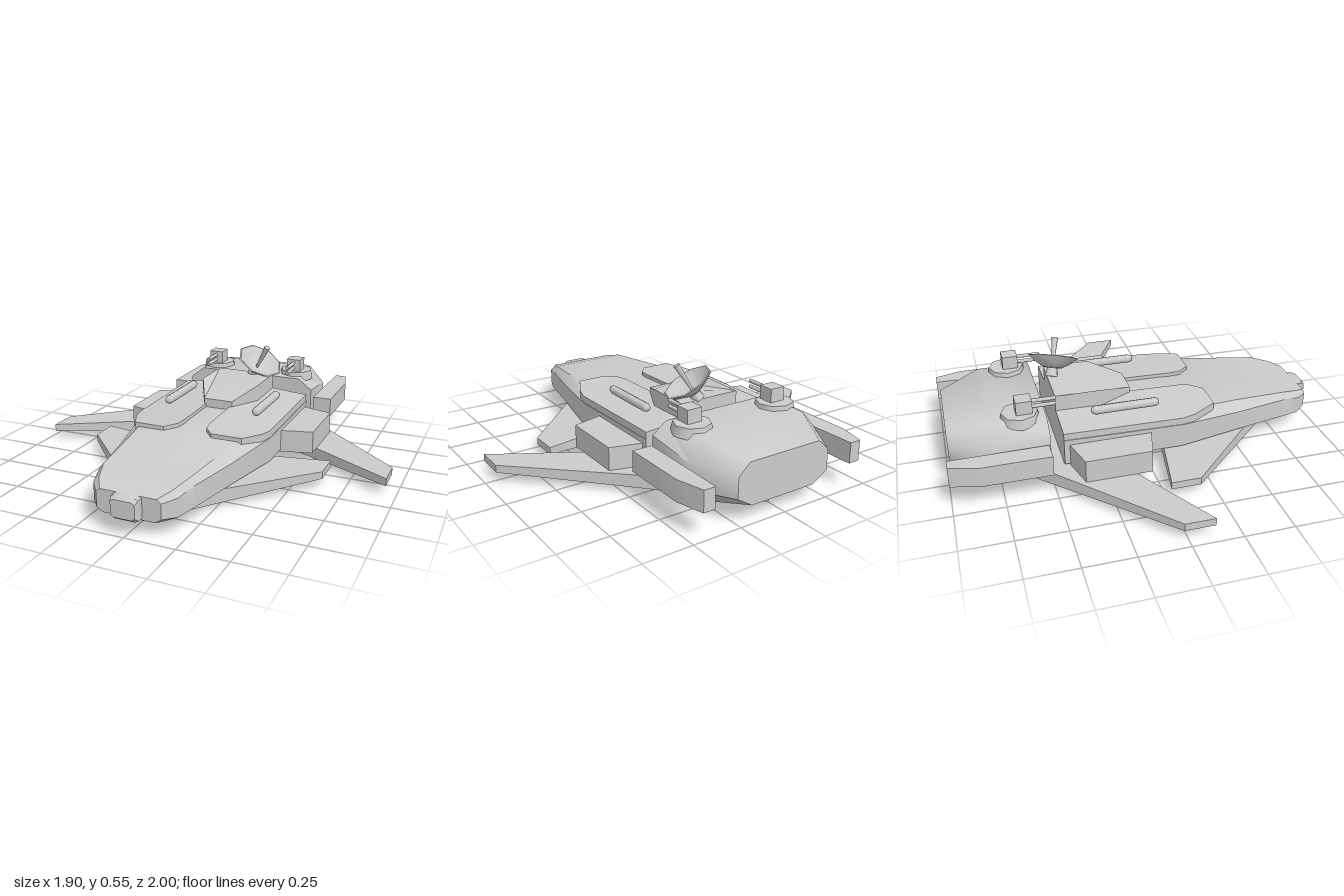
import * as THREE from 'three';
import { toCreasedNormals } from 'three/addons/utils/BufferGeometryUtils.js';

const mat = new THREE.MeshStandardMaterial({ color: 0xcccccc });
const dishMat = new THREE.MeshStandardMaterial({ color: 0xcccccc, side: THREE.DoubleSide });

function add(group, name, geometry, x = 0, y = 0, z = 0, material = mat) {
  const m = new THREE.Mesh(geometry, material);
  m.name = name;
  m.position.set(x, y, z);
  group.add(m);
  return m;
}

// Upright prism over an [x, z] outline; an optional rule reshapes the heights
function prism(points, side, y0, y1, rule) {
  const shape = new THREE.Shape(points.map(([x, z]) => new THREE.Vector2(x * side, -z)));
  const g = new THREE.ExtrudeGeometry(shape, { depth: y1 - y0, bevelEnabled: false });
  g.rotateX(-Math.PI / 2).translate(0, y0, 0);
  if (rule) {
    const p = g.attributes.position, mid = (y0 + y1) / 2;
    for (let i = 0; i < p.count; i++) {
      p.setY(i, rule(Math.abs(p.getX(i)), p.getY(i), p.getZ(i), p.getY(i) > mid));
    }
  }
  return toCreasedNormals(g, 0.5);
}

// Loft through mirrored half sections [z, [x, y]...], from back to front
function loft(sections, crease = 0.6) {
  const pos = [], index = [];
  const n = (sections[0].length - 1) * 2;
  for (const [z, ...half] of sections) {
    const left = [...half].reverse().map(([x, y]) => [-x, y]);
    for (const [x, y] of [...half, ...left]) pos.push(x, y, z);
  }
  const last = (sections.length - 1) * n;
  for (let s = 0; s < last; s += n) {
    for (let j = 0; j < n; j++) {
      const k = (j + 1) % n;
      index.push(s + j, s + k, s + n + k, s + j, s + n + k, s + n + j);
    }
  }
  for (let j = 1; j < n - 1; j++) {
    index.push(last, last + j, last + j + 1, 0, j + 1, j);
  }
  const g = new THREE.BufferGeometry();
  g.setAttribute('position', new THREE.Float32BufferAttribute(pos, 3));
  g.setIndex(index);
  return toCreasedNormals(g, crease);
}

export function createModel() {
  const ship = new THREE.Group();
  ship.name = 'spaceship';

  // Main hull, tapering to the nose
  add(ship, 'hull', loft([
    [-0.44, [0.24, 0.05], [0.37, 0.1], [0.37, 0.235], [0.3, 0.275]],
    [0.17, [0.24, 0.05], [0.37, 0.1], [0.37, 0.225], [0.3, 0.265]],
    [0.5, [0.2, 0.05], [0.3, 0.1], [0.3, 0.205], [0.25, 0.25]],
    [0.79, [0.18, 0.06], [0.245, 0.1], [0.24, 0.2], [0.215, 0.232]],
    [0.89, [0.15, 0.06], [0.21, 0.09], [0.21, 0.18], [0.18, 0.208]],
    [0.95, [0.13, 0.075], [0.16, 0.095], [0.16, 0.17], [0.14, 0.187]],
  ]));
  add(ship, 'noseBlock', loft([
    [0.92, [0.05, 0.075], [0.068, 0.085], [0.068, 0.18], [0.05, 0.188]],
    [0.98, [0.05, 0.075], [0.068, 0.085], [0.068, 0.18], [0.05, 0.188]],
    [1.0, [0.045, 0.09], [0.06, 0.1], [0.06, 0.165], [0.045, 0.175]],
  ]));

  // Raised cabin with a sloping front
  const cabin = [[0.165, -0.44], [0.165, -0.2], [0.08, -0.03], [-0.08, -0.03], [-0.165, -0.2], [-0.165, -0.44]];
  add(ship, 'cabin', prism(cabin, 1, 0.24, 0.37,
    (x, y, z, top) => (top && z > -0.19 ? 0.315 : y)));

  // Rear engine block
  add(ship, 'engineBlock', loft([
    [-0.985, [0.18, 0.08], [0.26, 0.13], [0.26, 0.235], [0.2, 0.29]],
    [-0.78, [0.24, 0.025], [0.37, 0.12], [0.37, 0.25], [0.29, 0.34]],
    [-0.505, [0.26, 0.06], [0.375, 0.11], [0.375, 0.28], [0.3, 0.338]],
  ], 0.9));

  for (const side of [1, -1]) {
    const label = side > 0 ? 'left' : 'right';

    // Swept wings: level on top, keeled underneath
    const wing = (name, outline, span) => add(ship, name, prism(outline, side, 0, 0.09,
      (x, y, z, top) => (top ? 0.09 : 0.052 * x / span)));
    wing(label + 'RearWing', [[0, -0.89], [0.95, -0.02], [0.95, 0.13], [0, -0.425]], 0.95);
    wing(label + 'FrontWing', [[0, 0.83], [0.645, 0.17], [0.645, 0.02], [0, 0.14]], 0.645);

    // Raised deck panel, falling away outboard and forward
    const panel = [[0.07, -0.44], [0.368, -0.44], [0.368, 0.17], [0.35, 0.24], [0.29, 0.36],
      [0.13, 0.36], [0.08, 0.3], [0.07, 0.24]];
    add(ship, label + 'DeckPanel', prism(panel, side, 0.22, 0.295, (x, y, z, top) =>
      (top ? y - 0.35 * Math.max(0, x - 0.3) - 0.05 * Math.max(0, z) : y)));

    // Deck rail
    const rail = new THREE.CapsuleGeometry(0.023, 0.31, 2, 8).rotateX(Math.PI / 2);
    add(ship, label + 'DeckRail', rail, side * 0.25, 0.31, -0.1);

    // Side pod and rear nacelle
    add(ship, label + 'SidePod',
      prism([[0.34, -0.42], [0.53, -0.37], [0.53, -0.04], [0.34, 0.01]], side, 0.09, 0.207));
    const nacelle = [[0.388, -0.515], [0.49, -0.515], [0.49, -0.86], [0.452, -1], [0.392, -1]];
    add(ship, label + 'Nacelle', prism(nacelle, side, 0.132, 0.237));

    // Turret with two stacked barrels
    const turret = new THREE.Group();
    turret.name = label + 'Turret';
    turret.position.set(side * 0.245, 0, -0.63);
    add(turret, 'turretBase',
      toCreasedNormals(new THREE.CylinderGeometry(0.09, 0.1, 0.05, 8), 0.8), 0, 0.337, 0);
    add(turret, 'turretHead', new THREE.BoxGeometry(0.08, 0.075, 0.08), 0, 0.393, 0.02);
    for (const y of [0.38, 0.41]) {
      const barrel = new THREE.CylinderGeometry(0.01, 0.01, 0.14, 8).rotateX(Math.PI / 2);
      add(turret, 'barrel', barrel, 0, y, 0.11);
    }
    ship.add(turret);
  }

  // Tilted dish antenna with its feed horn
  const dish = new THREE.Group();
  dish.name = 'dishAntenna';
  const bowl = [[0, -0.055], [0.05, -0.05], [0.09, -0.028], [0.132, 0.005], [0.125, 0.008],
    [0.085, -0.018], [0.045, -0.038], [0, -0.043]];
  add(dish, 'dishBowl', toCreasedNormals(
    new THREE.LatheGeometry(bowl.map(([r, y]) => new THREE.Vector2(r, y)), 8), 0.8), 0, 0, 0, dishMat);
  add(dish, 'dishFeed', new THREE.CylinderGeometry(0.017, 0.007, 0.15, 8), 0, 0.033, 0);
  add(dish, 'dishMount', new THREE.CylinderGeometry(0.025, 0.035, 0.05, 8), 0, -0.072, 0);
  dish.position.set(0.1, 0.448, -0.395);
  dish.quaternion.setFromUnitVectors(new THREE.Vector3(0, 1, 0),
    new THREE.Vector3(0.48, 0.85, 0.22).normalize());
  ship.add(dish);

  return ship;
}
